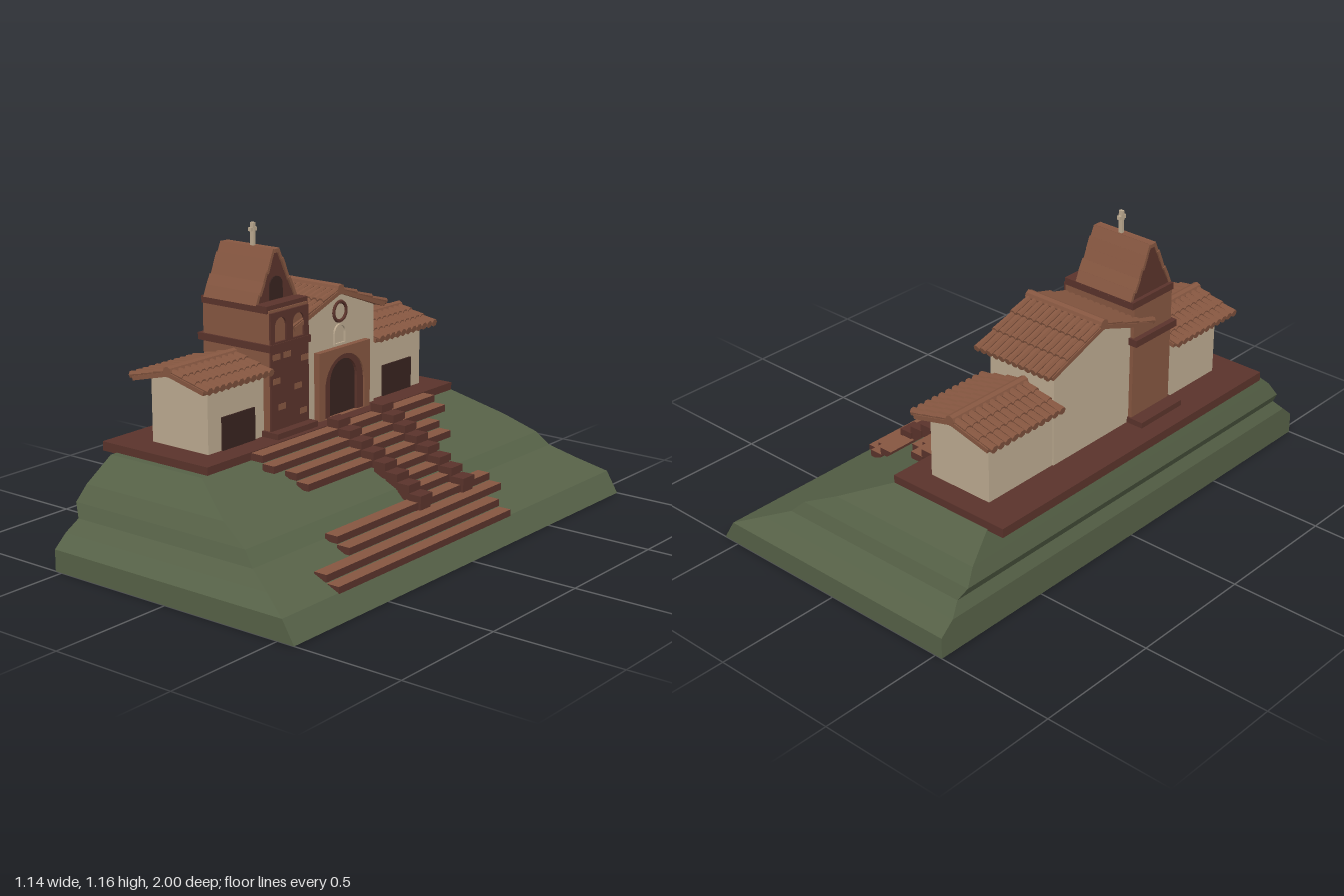
import * as THREE from 'three';

const mat = (name, color, double) => {
  const m = new THREE.MeshStandardMaterial({ color });
  m.name = name;
  m.flatShading = true;
  if (double) m.side = THREE.DoubleSide;
  return m;
};

export function createModel() {
  const grass = mat('grass', 0x566147);
  const brick = mat('darkBrick', 0x5a332b);
  const tile = mat('clayTile', 0x855640);
  const plaster = mat('plaster', 0xbcaa90);
  const dark = mat('darkWood', 0x38231f);
  const root = new THREE.Group();
  root.name = 'hilltopChapel';

  const add = (name, geo, m, parent = root) => {
    const mesh = new THREE.Mesh(geo, m);
    mesh.name = name;
    parent.add(mesh);
    return mesh;
  };
  // Box from its minimum and maximum corners
  const box = (name, m, x0, x1, y0, y1, z0, z1, parent = root) => {
    const mesh = add(name, new THREE.BoxGeometry(x1 - x0, y1 - y0, z1 - z0), m, parent);
    mesh.position.set((x0 + x1) / 2, (y0 + y1) / 2, (z0 + z1) / 2);
    return mesh;
  };
  // Extrudes a shape drawn in (-z, y) from x0 to x1
  const extrudeX = (name, m, shape, x0, x1) => {
    const geo = new THREE.ExtrudeGeometry(shape, { depth: x1 - x0, bevelEnabled: false, curveSegments: 8 });
    const mesh = add(name, geo.rotateY(Math.PI / 2), m);
    mesh.position.x = x0;
    return mesh;
  };
  const poly = pts => new THREE.Shape(pts.map(p => new THREE.Vector2(p[0], p[1])));
  // Round-headed opening centred on z
  const arch = (z, half, y0, top, Type = THREE.Shape) => {
    const s = new Type();
    s.moveTo(-z - half, y0);
    s.lineTo(-z + half, y0);
    s.lineTo(-z + half, top - half);
    s.absarc(-z, top - half, half, 0, Math.PI, false);
    s.lineTo(-z - half, y0);
    return s;
  };

  // Hill: stacked rectangles [y, back x, front x, half depth]
  const levels = [
    [0, -0.53, 0.57, 1], [0.082, -0.53, 0.52, 1], [0.13, -0.53, 0.41, 0.945], [0.175, -0.51, 0.31, 0.9],
    [0.225, -0.54, 0.26, 0.88], [0.285, -0.525, 0.13, 0.84], [0.375, -0.5, -0.06, 0.74],
  ].map(([y, x0, x1, z]) => [[x0, y, z], [x1, y, z], [x1, y, -z], [x0, y, -z]]);
  const verts = [];
  const quad = (a, b, c, d) => verts.push(...a, ...b, ...c, ...a, ...c, ...d);
  for (let i = 0; i < levels.length - 1; i++) {
    for (let k = 0; k < 4; k++) {
      const n = (k + 1) % 4;
      quad(levels[i][k], levels[i][n], levels[i + 1][n], levels[i + 1][k]);
    }
  }
  quad(...levels[levels.length - 1]);
  quad(...levels[0].slice().reverse());
  const hillGeo = new THREE.BufferGeometry();
  hillGeo.setAttribute('position', new THREE.Float32BufferAttribute(verts, 3));
  hillGeo.computeVertexNormals();
  add('hill', hillGeo, grass);

  // Paved terrace
  box('terrace', brick, -0.57, -0.06, 0.37, 0.405, -0.74, 0.71);

  // Stairs: brick risers with clay treads, in flights of different width
  const stepMats = [brick, brick, tile, brick, brick, brick];
  const flights = [[2, -0.55, 0.48], [2, -0.44, 0.42], [3, -0.22, 0], [2, -0.4, 0.52], [2, -0.31, 0.71]];
  let step = 0;
  for (const [count, z0, z1] of flights) {
    for (let i = 0; i < count; i++, step++) {
      const x = -0.06 + step * 0.0528, top = 0.402 - step * 0.0298;
      box('step', stepMats, x, x + 0.054, top - 0.027, top, z0, z1);
    }
  }
  // Stepped kerbs beside the stairs
  for (const z of [-0.28, -0.015]) {
    for (let i = 0; i < 8; i++) {
      const x = -0.057 + i * 0.0542, top = 0.436 - i * 0.031;
      box('kerbBlock', brick, x, x + 0.055, top - 0.027, top, z, z + 0.072);
      box('kerbFoot', brick, x, x + 0.05, top - 0.06, top - 0.027, z + 0.005, z + 0.067);
    }
  }

  // Tiled gable roof with its ridge along local x
  const gableRoof = (name, length, half, rise, count) => {
    const g = new THREE.Group();
    g.name = name;
    const slope = Math.hypot(half, rise), pitch = length / count;
    for (const turn of [0, Math.PI]) {
      const side = new THREE.Group();
      side.rotation.y = turn;
      const plane = new THREE.Group();
      plane.rotation.x = Math.atan2(rise, half);
      side.add(plane);
      g.add(side);
      box('roofBoard', tile, -length / 2, length / 2, -0.012, 0.004, 0, slope - 0.01, plane);
      for (let i = 0; i < count; i++) {
        for (let row = 0; row < 3; row++) {
          const geo = new THREE.CylinderGeometry(pitch * 0.46, pitch * 0.36, slope / 3 + 0.012, 7);
          const t = add('roofTile', geo.rotateX(Math.PI / 2), tile, plane);
          t.position.set((i + 0.5) * pitch - length / 2, 0.006, (row + 0.5) * slope / 3);
          t.rotation.x = -0.05;
        }
      }
    }
    const cap = new THREE.CylinderGeometry(0.02, 0.02, length, 8).rotateZ(Math.PI / 2);
    add('ridgeCap', cap, tile, g).position.y = 0.004;
    root.add(g);
    return g;
  };

  // Low side wings with a dark opening each
  for (const [z0, z1, r0, r1, d0, d1] of [
    [0.2, 0.6, 0.295, 0.655, 0.355, 0.53], [-0.65, -0.25, -0.7, -0.325, -0.585, -0.402],
  ]) {
    const gable = poly([[-0.425, 0.4], [-0.155, 0.4], [-0.155, 0.642], [-0.29, 0.678], [-0.425, 0.642]]);
    const geo = new THREE.ExtrudeGeometry(gable, { depth: z1 - z0, bevelEnabled: false });
    add('wingWalls', geo, plaster).position.z = z0;
    box('wingOpening', dark, -0.155, -0.148, 0.405, 0.528, d0, d1);
    const roof = gableRoof('wingRoof', r1 - r0, 0.182, 0.045, 11);
    roof.position.set(-0.295, 0.692, (r0 + r1) / 2);
    roof.rotation.y = Math.PI / 2;
  }

  // Nave
  extrudeX('naveWalls', plaster,
    poly([[-0.115, 0.4], [0.325, 0.4], [0.325, 0.79], [0.105, 0.872], [-0.115, 0.79]]), -0.43, -0.135);
  gableRoof('naveRoof', 0.35, 0.28, 0.1, 12).position.set(-0.293, 0.884, -0.105);

  // Doorway: clay frame, brick arch and dark door
  const frame = poly([[-0.035, 0.405], [0.27, 0.405], [0.27, 0.667], [-0.035, 0.667]]);
  frame.holes.push(arch(-0.118, 0.118, 0.406, 0.64, THREE.Path));
  extrudeX('doorFrame', tile, frame, -0.135, -0.11);
  const surround = arch(-0.118, 0.118, 0.405, 0.64);
  surround.holes.push(arch(-0.118, 0.082, 0.406, 0.62, THREE.Path));
  extrudeX('doorArch', brick, surround, -0.135, -0.117);
  extrudeX('door', dark, arch(-0.118, 0.082, 0.405, 0.62), -0.135, -0.129);

  // Round window and small niche
  const ring = add('roundWindow', new THREE.TorusGeometry(0.037, 0.007, 6, 20).rotateY(Math.PI / 2), brick);
  ring.position.set(-0.133, 0.8, -0.115);
  const niche = arch(-0.112, 0.034, 0.675, 0.753);
  niche.holes.push(arch(-0.112, 0.029, 0.68, 0.748, THREE.Path));
  extrudeX('nicheTrim', plaster, niche, -0.135, -0.127);

  // Bell tower
  box('towerPlinth', brick, -0.5, -0.08, 0.4, 0.427, 0.08, 0.31);
  box('towerShaft', tile, -0.445, -0.125, 0.4, 0.875, 0.087, 0.3);
  box('towerFront', brick, -0.125, -0.118, 0.42, 0.73, 0.087, 0.3);
  for (const [y, z] of [[0.46, 0.12], [0.5, 0.24], [0.56, 0.15], [0.6, 0.27], [0.66, 0.11], [0.69, 0.21], [0.69, 0.27]]) {
    box('paleBrick', tile, -0.118, -0.116, y, y + 0.022, z - 0.02, z + 0.02);
  }
  box('lowerCornice', brick, -0.466, -0.114, 0.723, 0.75, 0.078, 0.308);
  const belfry = poly([[-0.3, 0.75], [-0.087, 0.75], [-0.087, 0.866], [-0.3, 0.866]]);
  for (const z of [0.145, 0.245]) belfry.holes.push(arch(z, 0.032, 0.756, 0.845, THREE.Path));
  extrudeX('belfryFront', brick, belfry, -0.125, -0.117);
  box('upperCornice', brick, -0.445, -0.13, 0.865, 0.892, 0.078, 0.308);

  // Steep tower roof with a flared foot
  const foot = [[0.106, 0.89], [0.088, 0.925], [0.066, 0.962], [0.047, 1.0], [0.028, 1.038], [0.008, 1.075]];
  const zc = 0.194;
  extrudeX('towerGable', brick, poly([
    ...foot.map(([w, y]) => [w - zc, y]), ...foot.slice().reverse().map(([w, y]) => [-w - zc, y]),
  ]), -0.43, -0.185);
  extrudeX('gableOpening', dark, arch(zc, 0.036, 0.895, 0.98), -0.185, -0.18);
  for (const s of [1, -1]) {
    for (let i = 0; i < 5; i++) {
      const [w0, y0] = foot[i], [w1, y1] = foot[i + 1];
      const row = add('shingleRow', new THREE.BoxGeometry(0.255 + (i % 2) * 0.006, Math.hypot(w0 - w1, y1 - y0) + 0.008, 0.012), tile);
      row.position.set(-0.306, (y0 + y1) / 2, zc + s * ((w0 + w1) / 2 + 0.004));
      row.rotation.x = -s * (Math.atan2(w0 - w1, y1 - y0) - 0.06);
    }
  }
  box('towerRidge', tile, -0.435, -0.177, 1.066, 1.08, zc - 0.012, zc + 0.012);

  // Rooftop cross
  box('crossPost', plaster, -0.298, -0.282, 1.07, 1.165, zc - 0.006, zc + 0.006);
  box('crossArm', plaster, -0.297, -0.283, 1.133, 1.147, zc - 0.017, zc + 0.017);

  return root;
}
